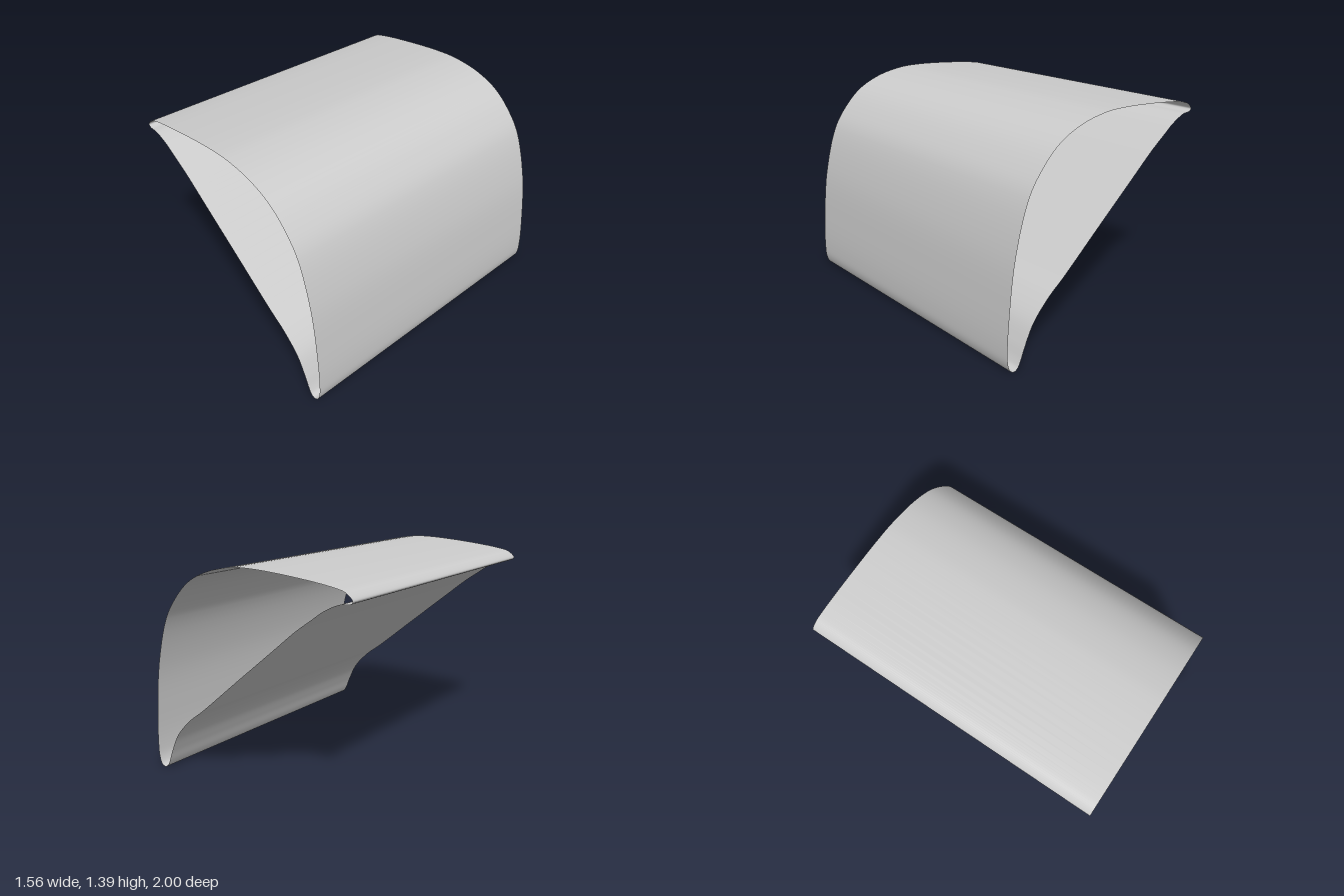
import * as THREE from 'three';
import { mergeVertices } from 'three/addons/utils/BufferGeometryUtils.js';

// Closed cross-section (x, y), counter-clockwise seen from the front
const PROFILE = [
  // outer wall and crown
  [0.782, 0.15], [0.77, 0.36], [0.727, 0.7], [0.635, 1.01], [0.55, 1.14],
  [0.42, 1.265], [0.25, 1.345], [0.05, 1.385], [-0.1, 1.39], [-0.38, 1.375],
  [-0.66, 1.345], [-0.74, 1.325],
  // rounded upper lip
  [-0.782, 1.285], [-0.765, 1.268],
  // inner sheet sloping down to the foot
  [-0.7, 1.26], [-0.6, 1.215], [-0.52, 1.16], [-0.4, 1.075], [-0.24, 0.945],
  [0.05, 0.71], [0.35, 0.465], [0.47, 0.375], [0.585, 0.255], [0.65, 0.13],
  // rounded foot
  [0.685, 0.045], [0.705, 0.012], [0.73, 0], [0.758, 0.012], [0.777, 0.06],
];

// Sweeps a closed profile along z as an open-ended, smooth sleeve
function sleeve(points, length, segments) {
  const curve = new THREE.CatmullRomCurve3(
    points.map(([x, y]) => new THREE.Vector3(x, y, 0)), true, 'centripetal');
  const geometry = new THREE.PlaneGeometry(1, length, segments, 1);
  const pos = geometry.attributes.position;
  const p = new THREE.Vector3();
  for (let i = 0; i < pos.count; i++) {
    const step = (i % (segments + 1)) % segments;
    curve.getPoint(step / segments, p);
    pos.setXYZ(i, p.x, p.y, pos.getY(i));
  }
  // weld the seam so shading runs smoothly all the way round
  geometry.deleteAttribute('uv');
  geometry.deleteAttribute('normal');
  const welded = mergeVertices(geometry);
  welded.computeVertexNormals();
  return welded;
}

export function createModel() {
  const group = new THREE.Group();
  group.name = 'curvedSleeve';

  const material = new THREE.MeshStandardMaterial({ color: 0xcccccc, side: THREE.DoubleSide });
  const shell = new THREE.Mesh(sleeve(PROFILE, 2, PROFILE.length * 6), material);
  shell.name = 'shell';
  group.add(shell);

  return group;
}
